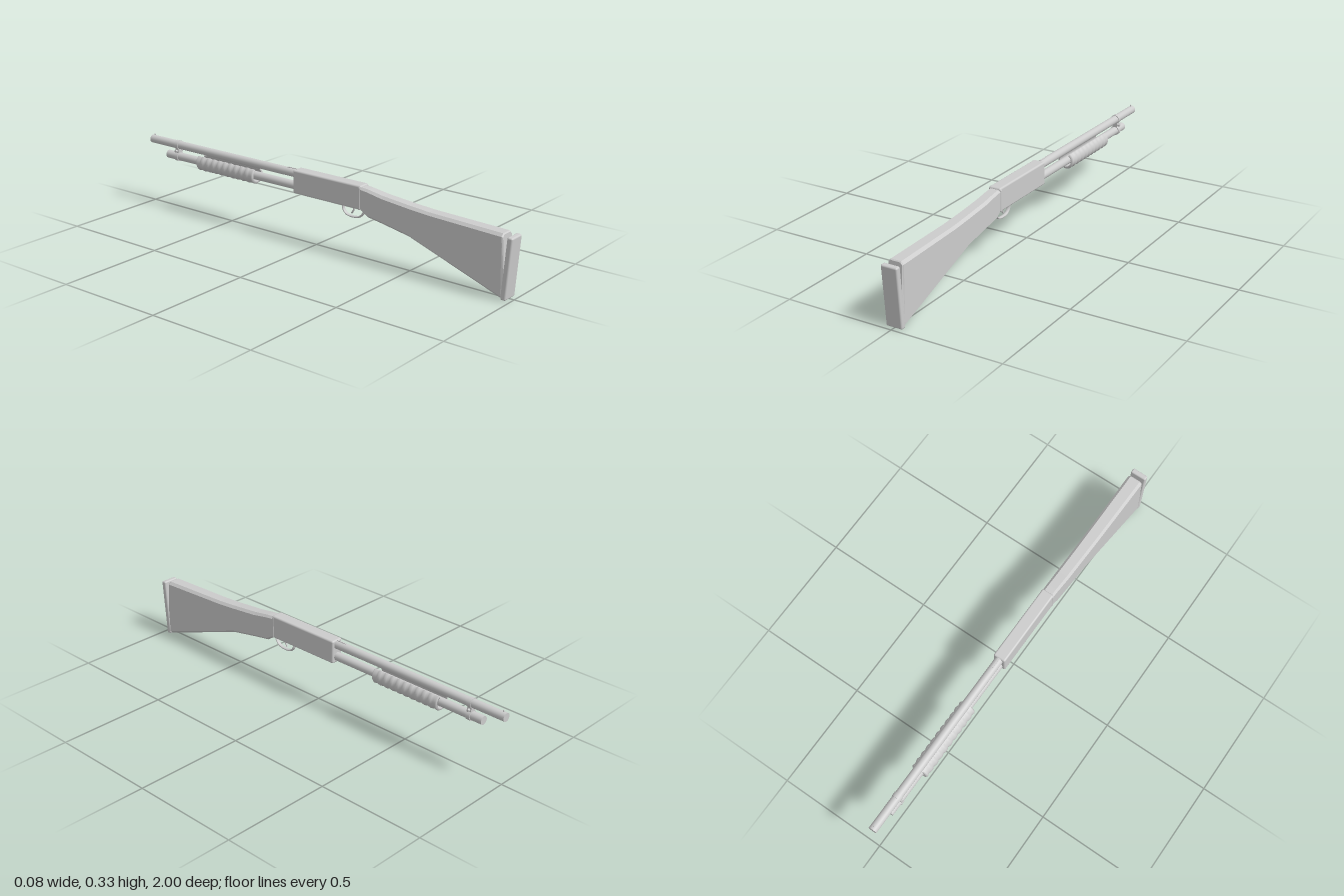
import * as THREE from 'three';
import { RoundedBoxGeometry } from 'three/addons/geometries/RoundedBoxGeometry.js';

const grey = new THREE.MeshStandardMaterial({ color: 0xcccccc, side: THREE.DoubleSide });
grey.name = 'grey';

function add(parent, name, geometry, x = 0, y = 0, z = 0) {
  const mesh = new THREE.Mesh(geometry, grey);
  mesh.name = name;
  mesh.position.set(x, y, z);
  parent.add(mesh);
  return mesh;
}

// Cylinder lying along z between two z values
function tubeAlongZ(parent, name, radius, y, z0, z1) {
  const g = new THREE.CylinderGeometry(radius, radius, Math.abs(z1 - z0), 24);
  return add(parent, name, g.rotateX(Math.PI / 2), 0, y, (z0 + z1) / 2);
}

// Chamfered rectangular sections joined along z; each is [zTop, zBottom, yBottom, yTop, halfWidth, chamfer]
function loft(sections) {
  const pos = [], index = [], n = 8;
  for (const [zt, zb, yb, yt, w, c] of sections) {
    const ring = [[w, yb + c], [w, yt - c], [w - c, yt], [c - w, yt], [-w, yt - c], [-w, yb + c], [c - w, yb], [w - c, yb]];
    for (const [x, y] of ring) pos.push(x, y, zb + (zt - zb) * (y - yb) / (yt - yb));
  }
  const last = (sections.length - 1) * n;
  for (let i = 0; i < last; i += n) {
    for (let j = 0; j < n; j++) {
      const k = (j + 1) % n;
      index.push(i + j, i + k, i + n + k, i + j, i + n + k, i + n + j);
    }
  }
  for (let j = 1; j < n - 1; j++) index.push(0, j + 1, j, last, last + j, last + j + 1);
  const g = new THREE.BufferGeometry();
  g.setAttribute('position', new THREE.Float32BufferAttribute(pos, 3));
  g.setIndex(index);
  const flat = g.toNonIndexed();
  flat.computeVertexNormals();
  return flat;
}

// Ribbed sleeve with a slot along the top for the barrel
function foreEndGeometry(length, ribs) {
  const profile = [new THREE.Vector2(0.028, 0), new THREE.Vector2(0.035, 0), new THREE.Vector2(0.039, 0.006)];
  const start = 0.02, pitch = (length - 2 * start) / ribs;
  for (let i = 0; i < ribs; i++) {
    const y = start + i * pitch;
    profile.push(new THREE.Vector2(0.035, y));
    for (const t of [0.25, 0.5, 0.75]) profile.push(new THREE.Vector2(0.035 + 0.005 * Math.sin(t * Math.PI), y + t * pitch));
  }
  profile.push(new THREE.Vector2(0.035, length - start), new THREE.Vector2(0.039, length - 0.006),
    new THREE.Vector2(0.035, length), new THREE.Vector2(0.028, length), new THREE.Vector2(0.028, 0));
  const gap = 0.55;
  return new THREE.LatheGeometry(profile, 32, gap, Math.PI * 2 - 2 * gap).rotateX(-Math.PI / 2);
}

export function createModel() {
  const model = new THREE.Group();
  model.name = 'pumpActionProp';

  // Stock and tilted butt pad
  add(model, 'stock', loft([
    [0.25, 0.25, 0.225, 0.323, 0.028, 0.009],
    [0.293, 0.293, 0.197, 0.319, 0.029, 0.01],
    [0.37, 0.37, 0.185, 0.307, 0.031, 0.011],
    [0.507, 0.507, 0.16, 0.294, 0.032, 0.011],
    [0.6, 0.6, 0.128, 0.287, 0.033, 0.011],
    [0.95, 0.957, 0.004, 0.276, 0.036, 0.012],
    [0.955, 0.972, 0.012, 0.272, 0.032, 0.01],
  ]));
  const pad = add(model, 'buttPad', new RoundedBoxGeometry(0.076, 0.267, 0.025, 3, 0.007), 0, 0.135, 0.978);
  pad.rotation.x = 0.075;

  // Receiver
  add(model, 'receiver', new RoundedBoxGeometry(0.058, 0.106, 0.37, 3, 0.008), 0, 0.276, 0.075);
  add(model, 'receiverCollar', new RoundedBoxGeometry(0.062, 0.1, 0.012, 2, 0.005), 0, 0.273, 0.252);
  add(model, 'barrelTopTab', new THREE.BoxGeometry(0.006, 0.008, 0.05), 0, 0.324, -0.135);

  // Barrel, magazine tube and sliding fore-end
  tubeAlongZ(model, 'barrel', 0.019, 0.307, -0.1, -1);
  tubeAlongZ(model, 'magazineTube', 0.019, 0.251, -0.1, -0.895);
  add(model, 'foreEnd', foreEndGeometry(0.345, 9), 0, 0.252, -0.34);

  // Clamp joining the two tubes
  const clamp = new THREE.Group();
  clamp.name = 'barrelClamp';
  model.add(clamp);
  tubeAlongZ(clamp, 'upperRing', 0.0215, 0.307, -0.82, -0.84);
  tubeAlongZ(clamp, 'lowerRing', 0.0225, 0.251, -0.82, -0.84);
  add(clamp, 'clampWeb', new THREE.BoxGeometry(0.024, 0.05, 0.02), 0, 0.279, -0.83);
  add(clamp, 'clampScrew', new THREE.CylinderGeometry(0.006, 0.006, 0.046, 12).rotateZ(Math.PI / 2), 0, 0.279, -0.83);

  // Front bead
  add(model, 'sightPost', new THREE.CylinderGeometry(0.002, 0.002, 0.01, 8), 0, 0.328, -0.985);
  add(model, 'sightBead', new THREE.SphereGeometry(0.0035, 12, 8), 0, 0.332, -0.985);

  // Guard loop, widened sideways into a strap, with the trigger inside
  const guardPath = new THREE.CatmullRomCurve3([
    [0.23, 0.262], [0.205, 0.257], [0.183, 0.237], [0.176, 0.205], [0.181, 0.168], [0.2, 0.15], [0.228, 0.147],
  ].map(([y, z]) => new THREE.Vector3(0, y, z)));
  add(model, 'triggerGuard', new THREE.TubeGeometry(guardPath, 32, 0.0045, 8)).scale.x = 2;
  const triggerPath = new THREE.CatmullRomCurve3([
    [0.23, 0.205], [0.212, 0.205], [0.2, 0.2], [0.19, 0.192],
  ].map(([y, z]) => new THREE.Vector3(0, y, z)));
  add(model, 'trigger', new THREE.TubeGeometry(triggerPath, 12, 0.004, 8));

  return model;
}
